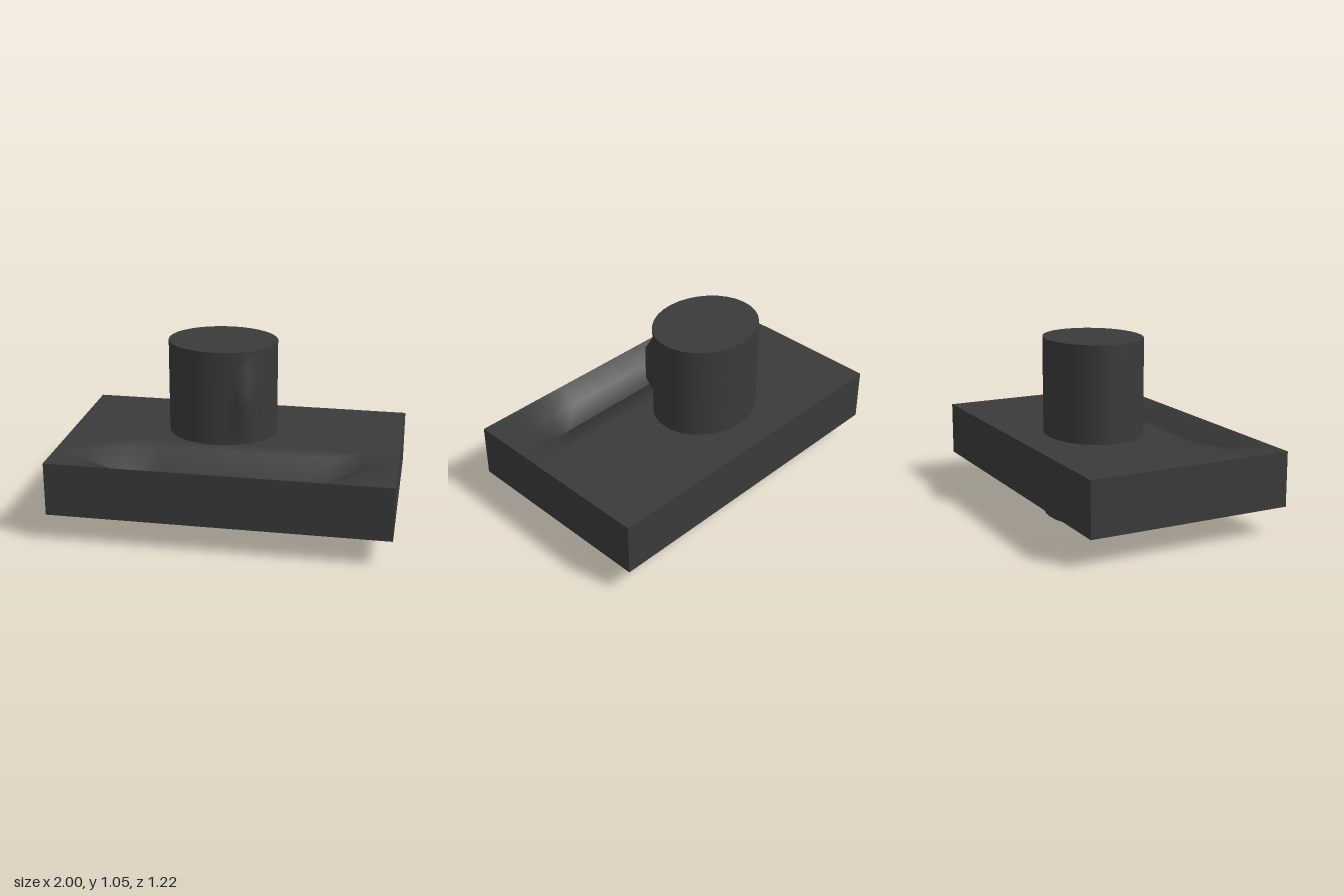
import * as THREE from 'three';

const near = (a, b) => Math.abs(a - b) < 0.03;

// Move every vertex of a geometry by a rule, then refresh its normals
function reshape(geometry, rule) {
  const p = geometry.attributes.position;
  const v = new THREE.Vector3();
  for (let i = 0; i < p.count; i++) {
    v.fromBufferAttribute(p, i);
    rule(v);
    p.setXYZ(i, v.x, v.y, v.z);
  }
  geometry.computeVertexNormals();
  return geometry;
}

export function createModel() {
  const group = new THREE.Group();
  const material = new THREE.MeshStandardMaterial({ color: 0x3a3a3a });

  // Slab: a trough in the top near the front, a shallow bulge underneath
  const bottom = 0.165, top = 0.485, depth = 1.224;
  const slabGeometry = new THREE.BoxGeometry(2, top - bottom, depth, 10, 1, 10);
  slabGeometry.translate(0, (top + bottom) / 2, 0);
  reshape(slabGeometry, (v) => {
    if (v.y > 0.3) {
      if (Math.abs(v.x) < 0.7) {
        if (near(v.z, 0.367)) v.y -= 0.18;
        if (near(v.z, 0.49)) v.y -= 0.063;
      }
    } else if (Math.abs(v.x) < 0.9 && v.z > -0.3 && v.z < 0.18) {
      v.y -= 0.055;
    }
  });
  const slab = new THREE.Mesh(slabGeometry, material);
  slab.name = 'slab';
  group.add(slab);

  // Oval post through the slab, with one small bump on its front left side
  const height = 1.055;
  const postGeometry = new THREE.CylinderGeometry(1, 1, height, 32, 10);
  postGeometry.scale(0.33, 1, 0.286);
  postGeometry.translate(-0.09, height / 2, -0.134);
  const p = postGeometry.attributes.position;
  const normals = postGeometry.attributes.normal;
  for (let i = 0; i < p.count; i++) {
    const y = p.getY(i);
    const side = Math.abs(normals.getY(i)) < 0.5;
    if (side && y > 0.6 && y < 0.88 && near(p.getX(i), 0.093) && near(p.getZ(i), 0.104)) {
      p.setX(i, 0.11);
      p.setZ(i, 0.163);
    }
  }
  const seam = normals.clone();
  postGeometry.computeVertexNormals();
  // Keep the seam column smooth
  for (let i = 0; i < 33 * 11; i++) {
    if (i % 33 === 0 || i % 33 === 32) {
      postGeometry.attributes.normal.setXYZ(i, seam.getX(i), seam.getY(i), seam.getZ(i));
    }
  }
  const post = new THREE.Mesh(postGeometry, material);
  post.name = 'post';
  group.add(post);

  return group;
}
